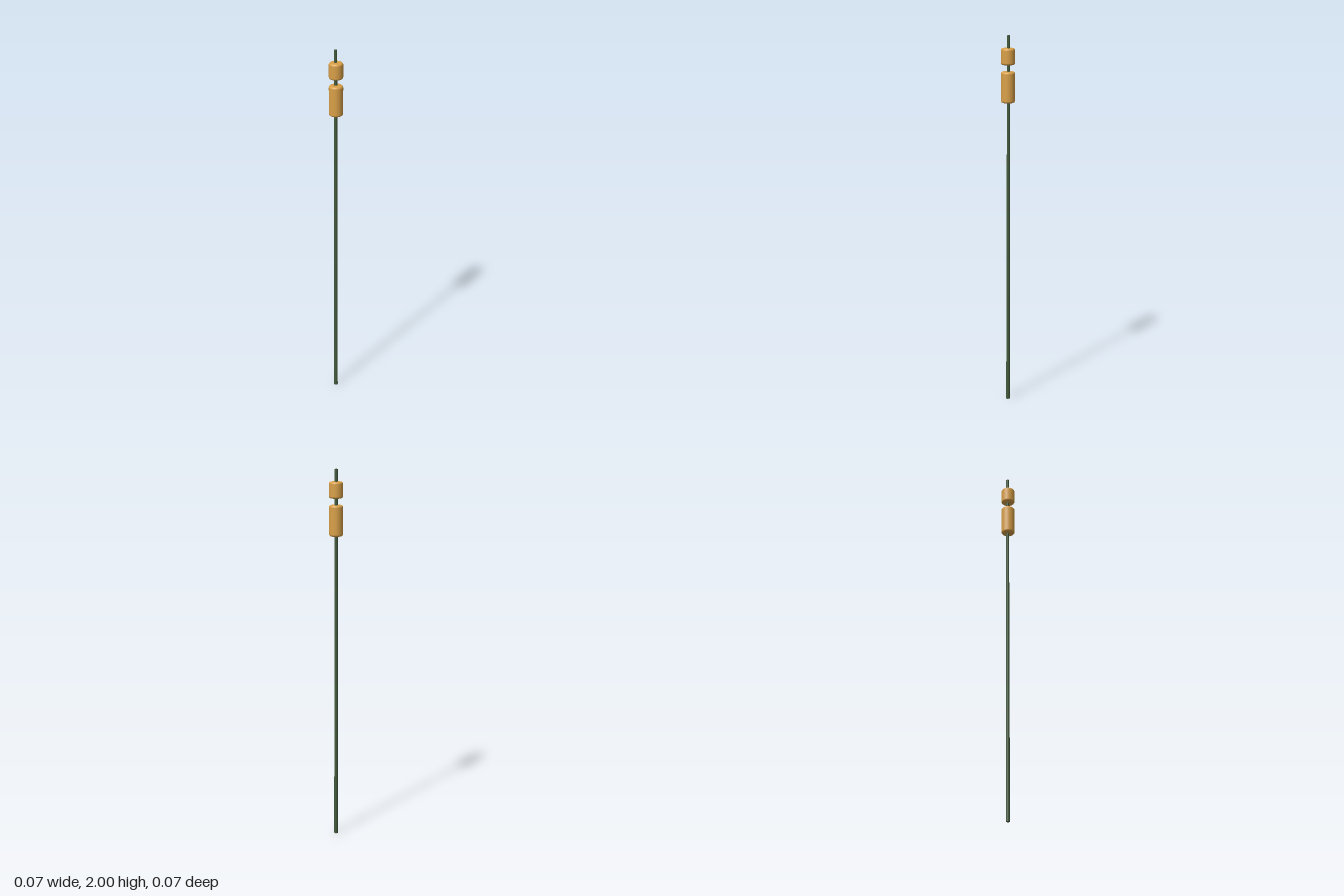
import * as THREE from 'three';

const stemMaterial = new THREE.MeshStandardMaterial({ color: 0x435a3c });
stemMaterial.name = 'dark green';
const beadMaterial = new THREE.MeshStandardMaterial({ color: 0xd9a048 });
beadMaterial.name = 'golden tan';

// Closed cylinder with rounded rims, standing between two heights
function roundedBead(name, bottom, top) {
  const radius = 0.0365, rim = 0.011, steps = 5;
  const profile = [new THREE.Vector2(0, bottom)];
  for (const [height, start] of [[bottom + rim, -Math.PI / 2], [top - rim, 0]]) {
    for (let i = 0; i <= steps; i++) {
      const a = start + (i / steps) * Math.PI / 2;
      profile.push(new THREE.Vector2(radius - rim + rim * Math.cos(a), height + rim * Math.sin(a)));
    }
  }
  profile.push(new THREE.Vector2(0, top));
  const mesh = new THREE.Mesh(new THREE.LatheGeometry(profile, 32), beadMaterial);
  mesh.name = name;
  return mesh;
}

export function createModel() {
  const model = new THREE.Group();
  model.name = 'beadedStem';

  // Slender tapered stem, leaning very slightly backwards
  const geometry = new THREE.CylinderGeometry(0.008, 0.0102, 2, 16);
  geometry.translate(0, 1, 0);
  const position = geometry.attributes.position;
  for (let i = 0; i < position.count; i++) {
    position.setZ(i, position.getZ(i) - 0.0033 * position.getY(i) / 2);
  }
  const stem = new THREE.Mesh(geometry, stemMaterial);
  stem.name = 'stem';
  model.add(stem);

  // Long lower bead and short upper bead
  model.add(roundedBead('lowerBead', 1.652, 1.814));
  model.add(roundedBead('upperBead', 1.849, 1.935));
  return model;
}
